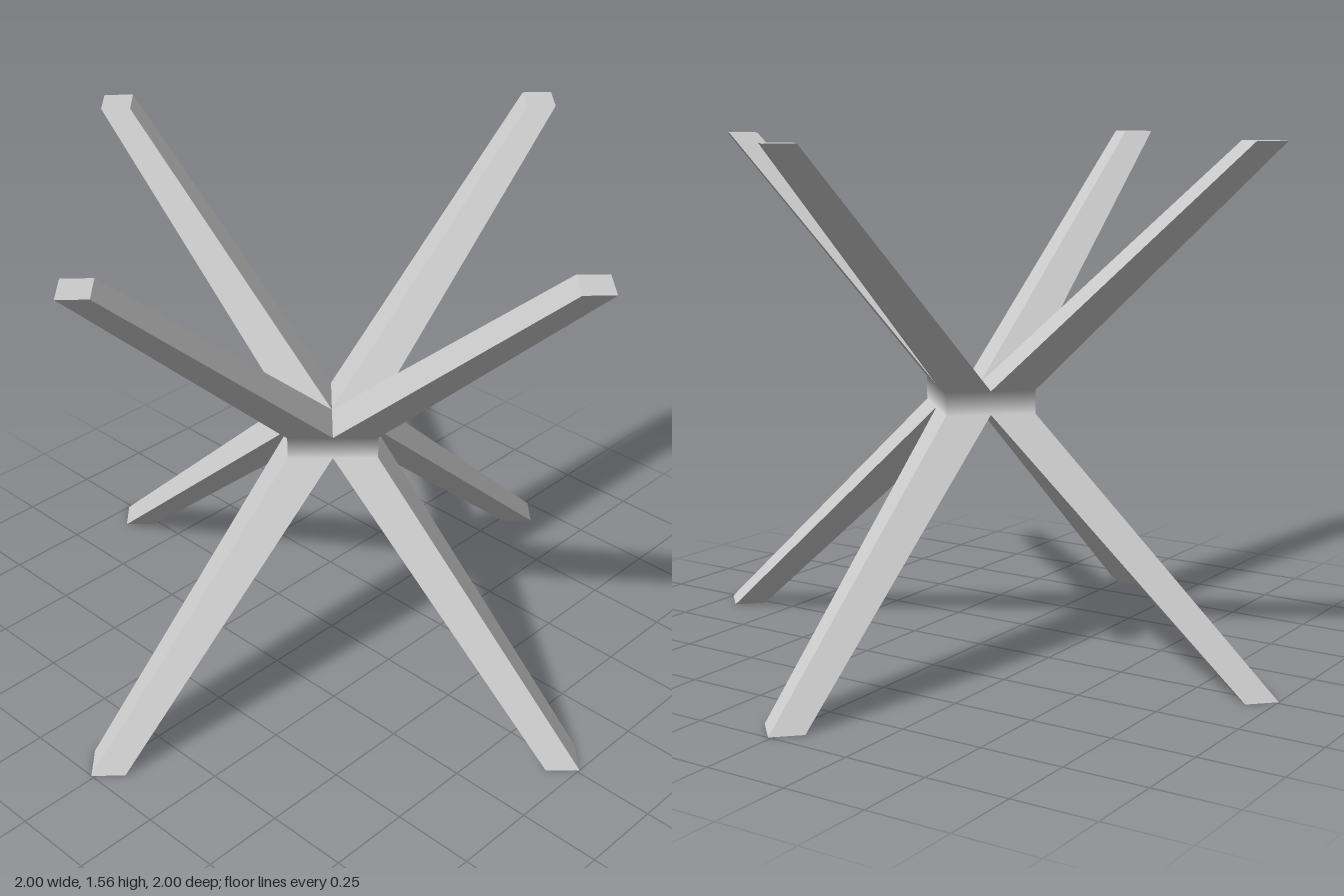
import * as THREE from 'three';

const LOW = 0.75, HIGH = 0.82, TOP = 1.56;

// Rectangle turned 45 degrees in plan: outer corner (x, z), long and short half-diagonal steps.
// Order: inner, side, outer, other side (counter-clockwise seen from above).
function section(x, z, long, short, y) {
  return [
    [x - long - short, y, z - long + short],
    [x - short, y, z + short],
    [x, y, z],
    [x - long, y, z - long],
  ].map((p) => new THREE.Vector3(...p));
}

const rings = [
  section(1.0, -0.01, 0.077, 0.07, 0),
  section(0.21, 0.02, 0.115, 0.095, LOW),
  section(0.21, 0.02, 0.115, 0.095, HIGH),
  section(0.985, -0.005, 0.083, 0.063, TOP),
];

// The four directions: half turns and diagonal mirrors of the first arm
const places = [
  { name: 'left', map: (p) => [p.x, p.y, p.z] },
  { name: 'right', map: (p) => [-p.x, p.y, -p.z] },
  { name: 'front', map: (p) => [p.z, p.y, p.x], mirrored: true },
  { name: 'back', map: (p) => [-p.z, p.y, -p.x], mirrored: true },
];

function faceNormal(a, b, c) {
  return b.clone().sub(a).cross(c.clone().sub(a)).normalize();
}

// Quads given as four corners, with optional normals for each corner
function quadMesh(name, quads, material) {
  const pos = [], nor = [];
  for (const { corners, normals } of quads) {
    const flat = faceNormal(corners[0], corners[1], corners[2]);
    for (const i of [0, 1, 2, 0, 2, 3]) {
      pos.push(...corners[i].toArray());
      nor.push(...(normals ? normals[i] : flat).toArray());
    }
  }
  const geometry = new THREE.BufferGeometry();
  geometry.setAttribute('position', new THREE.Float32BufferAttribute(pos, 3));
  geometry.setAttribute('normal', new THREE.Float32BufferAttribute(nor, 3));
  const mesh = new THREE.Mesh(geometry, material);
  mesh.name = name;
  return mesh;
}

// Side quads between two rings, lower ring first
function sides(low, high) {
  return low.map((p, i) => {
    const j = (i + 1) % 4;
    return { corners: [p, low[j], high[j], high[i]] };
  });
}

export function createModel() {
  const group = new THREE.Group();
  group.name = 'crossedTableBase';
  const material = new THREE.MeshStandardMaterial({ color: 0xcccccc });

  for (const { name, map, mirrored } of places) {
    const [foot, low, high, tip] = rings.map((ring) => {
      const r = ring.map((p) => new THREE.Vector3(...map(p)));
      return mirrored ? r.reverse() : r;
    });
    const legSides = sides(foot, low);
    const armSides = sides(high, tip);

    // Splayed leg and rising arm with flat ends
    group.add(quadMesh(name + 'Leg', [...legSides, { corners: [...foot].reverse() }], material));
    group.add(quadMesh(name + 'Arm', [...armSides, { corners: tip }], material));

    // Waist: the two outward sides, shaded smoothly from leg into arm
    const outer = mirrored ? 1 : 2;
    const waist = sides(low, high)
      .map((quad, i) => {
        const a = faceNormal(...legSides[i].corners.slice(0, 3));
        const b = faceNormal(...armSides[i].corners.slice(0, 3));
        return { ...quad, normals: [a, a, b, b] };
      })
      .filter((_, i) => i === outer || (i + 1) % 4 === outer);
    group.add(quadMesh(name + 'Waist', waist, material));
  }
  return group;
}
